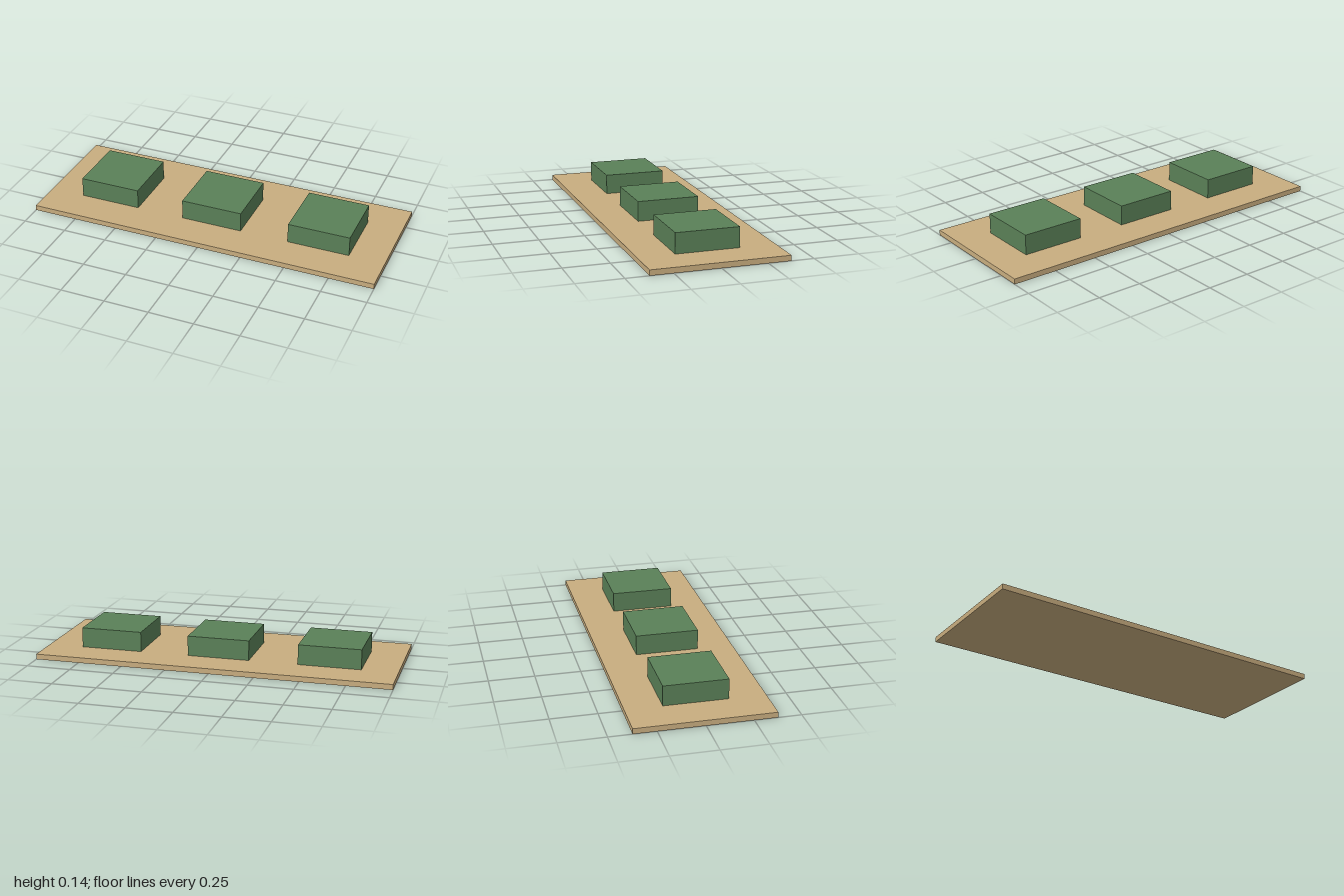
import * as THREE from 'three';

const BOARD = { width: 2, height: 0.03, depth: 0.75 };
const BLOCK = { size: 0.35, height: 0.1125, spacing: 0.625 };

// Box whose underside sits at the given height
function addBox(parent, name, [w, h, d], [x, bottom, z], material) {
  const mesh = new THREE.Mesh(new THREE.BoxGeometry(w, h, d), material);
  mesh.name = name;
  mesh.position.set(x, bottom + h / 2, z);
  parent.add(mesh);
}

export function createModel() {
  const model = new THREE.Group();
  model.name = 'boardWithBlocks';
  const tan = new THREE.MeshStandardMaterial({ color: 0xc8ad7f });
  const green = new THREE.MeshStandardMaterial({ color: 0x5a8057 });

  // Thin base board
  addBox(model, 'baseBoard', [BOARD.width, BOARD.height, BOARD.depth], [0, 0, 0], tan);

  // Row of three square blocks standing on the board
  ['rightBlock', 'middleBlock', 'leftBlock'].forEach((name, i) => {
    addBox(model, name, [BLOCK.size, BLOCK.height, BLOCK.size],
      [(i - 1) * BLOCK.spacing, BOARD.height, 0], green);
  });

  return model;
}
